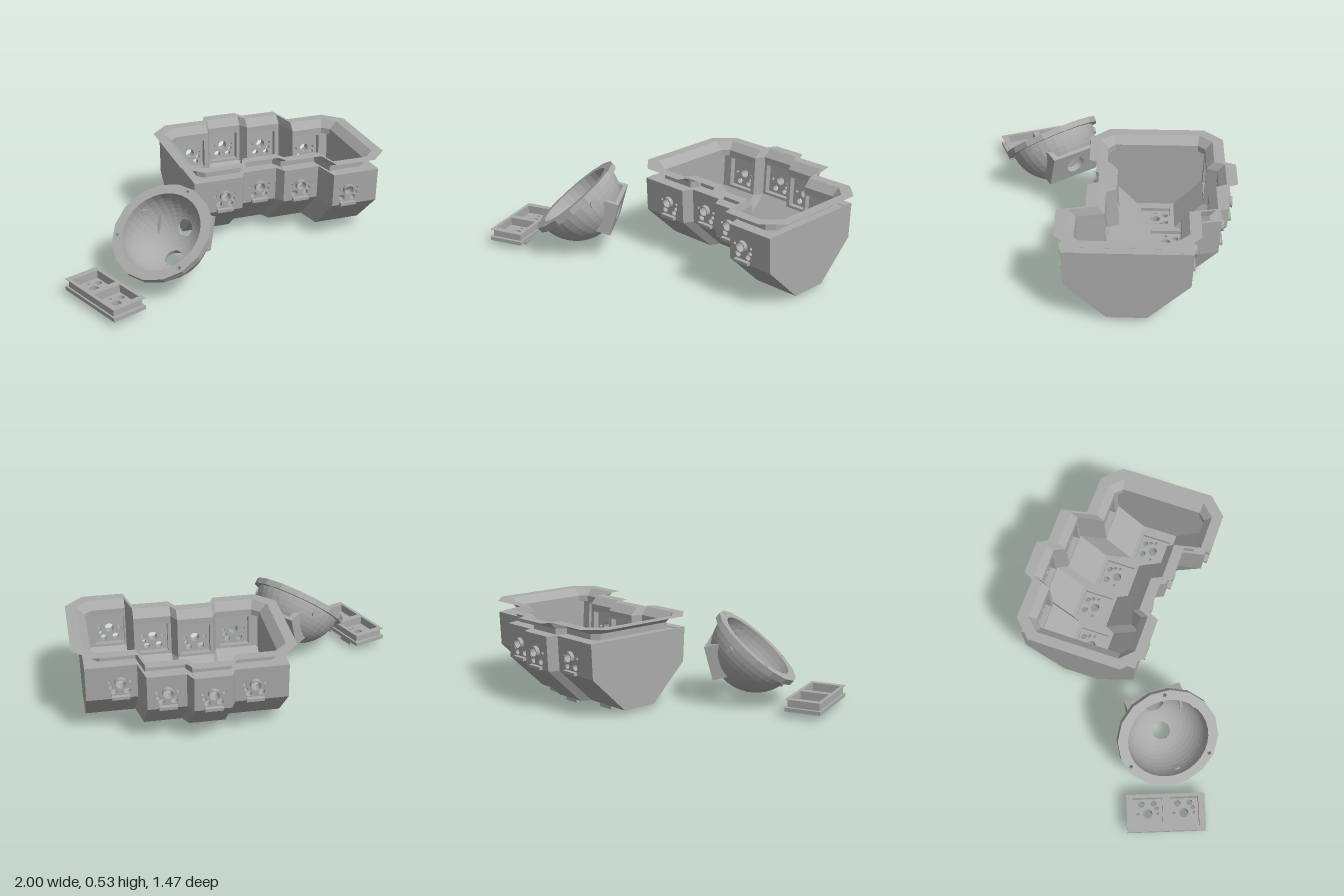
import * as THREE from 'three';

const grey = new THREE.MeshStandardMaterial({ color: 0xaaaaaa, side: THREE.DoubleSide, flatShading: true });
grey.name = 'plain grey';

function mesh(name, geometry, parent) {
  const m = new THREE.Mesh(geometry, grey);
  m.name = name;
  parent.add(m);
  return m;
}

// Flat-shaded surface from a list of four-cornered faces
function quads(list) {
  const p = [];
  for (const [a, b, c, d] of list) p.push(...a, ...b, ...c, ...a, ...c, ...d);
  const g = new THREE.BufferGeometry();
  g.setAttribute('position', new THREE.Float32BufferAttribute(p, 3));
  g.computeVertexNormals();
  return g;
}

const rect = (x0, y0, x1, y1) => [[x0, y0], [x1, y0], [x1, y1], [x0, y1]].map(([x, y]) => new THREE.Vector2(x, y));
const circle = (x, y, r, n = 16) => Array.from({ length: n }, (_, i) =>
  new THREE.Vector2(x + r * Math.cos(i / n * Math.PI * 2), y + r * Math.sin(i / n * Math.PI * 2)));

function plate(outline, holes, z, depth, seg = 1) {
  const s = new THREE.Shape(outline);
  s.holes = holes.map(h => new THREE.Path(h));
  const g = new THREE.ExtrudeGeometry(s, { depth, bevelEnabled: false, curveSegments: seg });
  g.translate(0, 0, z);
  return g;
}

// Switch openings: centre, two side pegs and the contact holes (x, y, radius)
const PATTERN = [[0, 0, 0.027], [-0.058, 0, 0.009], [0.058, 0, 0.009], [-0.035, -0.056, 0.019],
  [0.036, -0.06, 0.017], [0.052, -0.031, 0.012]];
const keyHoles = (flip, turn = 0, oy = 0) => PATTERN.map(([x, y, r]) => {
  const v = new THREE.Vector2(x * flip, y).rotateAround(new THREE.Vector2(), turn);
  return circle(v.x, v.y + oy, r);
});

// Socket collar and bar on the outer side of a key opening
function socket(parent, turn = 0, oy = 0) {
  const g = new THREE.Group();
  g.name = 'socket';
  mesh('collar', plate(circle(0, 0, 0.033), [circle(0, 0, 0.027)], 0, 0.024), g);
  mesh('socketBar', new THREE.BoxGeometry(0.1, 0.018, 0.024).translate(0, -0.091, 0.012), g);
  g.rotation.z = turn;
  g.position.y = oy;
  parent.add(g);
}

// Key panel with its outer face at local z = 0: pierced plate plus window frame
function keyPanel(name, x0, x1, half, thick, skin, flip) {
  const g = new THREE.Group();
  g.name = name;
  if (flip < 0) [x0, x1] = [-x1, -x0];
  mesh('piercedPlate', plate(rect(x0, -half, x1, half), keyHoles(flip), -skin, skin), g);
  mesh('windowFrame', plate(rect(x0, -half, x1, half), [rect(-0.085, -0.087, 0.085, 0.087)], -thick, thick - skin), g);
  socket(g);
  return g;
}

// Columns: left edge, right edge, key centre, z centre
const COLS = [[-0.163, 0.136, 0.025, -0.29], [0.163, 0.37, 0.265, -0.35],
  [0.4, 0.617, 0.505, -0.29], [0.65, 0.935, 0.745, -0.135]];
const OUTER = [[0.35, 0.455], [0.34, 0.25], [0.11, 0.035], [-0.11, 0.035], [-0.34, 0.25], [-0.35, 0.455]];
const INNER = [[0.283, 0.455], [0.275, 0.25], [0.11, 0.08], [-0.11, 0.08], [-0.275, 0.25], [-0.283, 0.455]];

// Outline of the four columns seen from above, with cut corners
function outline(half, x0, x1, cut, y) {
  const side = s => {
    const p = [];
    COLS.forEach(([a, b, , c], i) => {
      const z = c + s * half;
      if (i === 0) p.push([x0, y, z - s * cut], [x0 + cut, y, z]); else p.push([a, y, z]);
      if (i === 3) p.push([x1 - cut, y, z], [x1, y, z - s * cut]); else p.push([b, y, z]);
    });
    return p;
  };
  return [...side(-1), ...side(1).reverse()];
}

function keyWell() {
  const well = new THREE.Group();
  well.name = 'keyWell';
  const faces = [];
  const strip = (prof, a, ca, b, cb, keep) => {
    for (let i = 0; i < 5; i++) if (keep(i)) {
      const [z0, y0] = prof[i], [z1, y1] = prof[i + 1];
      faces.push([[a, y0, ca + z0], [a, y1, ca + z1], [b, y1, cb + z1], [b, y0, cb + z0]]);
    }
  };
  const tilt = Math.atan2(0.01, 0.205);
  COLS.forEach(([a, b, key, c], i) => {
    for (const prof of [OUTER, INNER]) {
      strip(prof, a, c, b, c, k => k % 2 === 1);
      if (i < 3) strip(prof, b, c, COLS[i + 1][0], COLS[i + 1][3], () => true);
    }
    // Front, back and floor panels of the column
    const front = keyPanel('frontPanel', a - key, b - key, 0.1025, 0.066, 0.03, 1);
    front.position.set(key, 0.3525, c + 0.345);
    front.rotation.x = tilt;
    const back = keyPanel('backPanel', a - key, b - key, 0.1025, 0.066, 0.03, -1);
    back.position.set(key, 0.3525, c - 0.345);
    back.rotation.set(-tilt, Math.PI, 0);
    const floor = keyPanel('floorPanel', a - key, b - key, 0.11, 0.045, 0.025, 1);
    floor.position.set(key, 0.035, c);
    floor.rotation.x = Math.PI / 2;
    well.add(front, back, floor);
  });
  mesh('slopesAndSteps', quads(faces), well);

  // Solid end walls
  for (const [x, c] of [[-0.115, COLS[0][3]], [0.935, COLS[3][3]]]) {
    const end = mesh('endWall', plate(OUTER.map(([z, y]) => new THREE.Vector2(z, y)), [], 0, 0.048), well);
    end.rotation.y = -Math.PI / 2;
    end.position.set(x, 0, c);
  }

  // Top ledge, upright neck, flare and flat lip
  const rings = [outline(0.35, -0.163, 0.935, 0, 0.455), outline(0.283, -0.115, 0.887, 0.04, 0.455),
    outline(0.283, -0.115, 0.887, 0.04, 0.49), outline(0.325, -0.163, 0.935, 0.075, 0.535),
    outline(0.387, -0.222, 0.997, 0.107, 0.535)];
  const rim = [];
  for (let r = 0; r < rings.length - 1; r++) rings[r].forEach((p, i) => {
    const j = (i + 1) % rings[r].length;
    rim.push([p, rings[r][j], rings[r + 1][j], rings[r + 1][i]]);
  });
  mesh('flaredRim', quads(rim), well);
  return well;
}

function ballCup() {
  const cup = new THREE.Group();
  cup.name = 'ballCup';
  const up = new THREE.Vector3(0, 1, 0);
  cup.quaternion.setFromUnitVectors(up, new THREE.Vector3(-0.51, 0.76, 0.4).normalize());
  cup.position.set(-0.455, 0.335, 0.36);
  const inv = cup.quaternion.clone().invert();
  const local = (x, y, z) => new THREE.Vector3(x, y, z).normalize().applyQuaternion(inv);
  const sensorDir = local(0.76, -0.26, -0.59);
  const openings = [local(0.37, -0.89, -0.27), sensorDir];
  const A = 0.225;

  // Half sphere; points inside an opening slide out to its edge
  function shell(r) {
    const N = 32, M = 13, list = [];
    const at = (i, j) => {
      const t = i / M * Math.PI / 2, f = j / N * Math.PI * 2;
      const v = new THREE.Vector3(Math.sin(t) * Math.cos(f), -Math.cos(t), Math.sin(t) * Math.sin(f));
      let inside = false;
      for (const d of openings) if (v.angleTo(d) < A) {
        inside = true;
        const side = v.clone().addScaledVector(d, -v.dot(d)).normalize();
        v.copy(d).multiplyScalar(Math.cos(A)).addScaledVector(side, Math.sin(A));
      }
      return { p: v.multiplyScalar(r).toArray(), inside };
    };
    for (let i = 0; i < M; i++) for (let j = 0; j < N; j++) {
      const q = [at(i, j), at(i + 1, j), at(i + 1, j + 1), at(i, j + 1)];
      if (!q.every(k => k.inside)) list.push(q.map(k => k.p));
    }
    return quads(list);
  }
  mesh('outerBowl', shell(0.265), cup);
  mesh('innerBowl', shell(0.236), cup);
  for (const d of openings) {
    const tube = mesh('openingWall', new THREE.CylinderGeometry(0.058, 0.054, 0.03, 24, 1, true), cup);
    tube.quaternion.setFromUnitVectors(up, d);
    tube.position.copy(d).multiplyScalar(0.244);
  }

  // Faceted rim with screw holes
  const screws = [0, 1, 2].map(i => circle(0.268 * Math.cos(i * 2.094 + 0.5), 0.268 * Math.sin(i * 2.094 + 0.5), 0.011, 10));
  mesh('rim', plate(circle(0, 0, 0.296, 16), [circle(0, 0, 0.236, 32), ...screws], -0.018, 0.036), cup)
    .rotation.x = -Math.PI / 2;

  // Three bearing balls through the wall
  const first = local(-0.44, -0.8, 0.4);
  for (let i = 0; i < 3; i++) {
    const d = first.clone().applyAxisAngle(up, i * Math.PI * 2 / 3);
    mesh('bearing', new THREE.CylinderGeometry(0.021, 0.021, 0.05, 12), cup).quaternion.setFromUnitVectors(up, d);
    cup.children.at(-1).position.copy(d).multiplyScalar(0.25);
  }

  // Sensor mount, held square to its opening with a level long side
  const mount = new THREE.Group();
  mount.name = 'sensorMount';
  const z = sensorDir, x = local(0.62, 0, 0.78);
  x.addScaledVector(z, -x.dot(z)).normalize();
  const y = new THREE.Vector3().crossVectors(z, x);
  mount.quaternion.setFromRotationMatrix(new THREE.Matrix4().makeBasis(x, y, z));
  mesh('mountPlate', plate(rect(-0.17, -0.1, 0.17, 0.1), [circle(0, 0, 0.058, 24)], 0.243, 0.024), mount);
  for (const s of [-1, 1])
    mesh('mountFoot', new THREE.BoxGeometry(0.035, 0.2, 0.065).translate(s * 0.1525, 0, 0.212), mount);
  cup.add(mount);
  return cup;
}

function thumbPlate() {
  const thumb = new THREE.Group();
  thumb.name = 'thumbPlate';
  const full = rect(-0.105, -0.2275, 0.105, 0.2275);
  const windows = [-0.105, 0.105].map(o => rect(-0.085, o - 0.085, 0.085, o + 0.085));
  const holes = [-0.105, 0.105].flatMap(o => keyHoles(1, Math.PI / 2, o));
  mesh('basePlate', plate(full, holes, -0.022, 0.022), thumb);
  mesh('keyFrame', plate(rect(-0.094, -0.208, 0.094, 0.208), windows, -0.068, 0.046), thumb);
  mesh('topLip', plate(full, windows, -0.07, 0.002), thumb);
  for (const o of [-0.105, 0.105]) socket(thumb, Math.PI / 2, o);
  thumb.rotation.set(Math.PI / 2, 0, -0.37);
  thumb.position.set(-0.82, 0.047, 0.478);
  return thumb;
}

export function createModel() {
  const model = new THREE.Group();
  model.name = 'keyboardParts';
  model.add(keyWell(), ballCup(), thumbPlate());
  return model;
}
